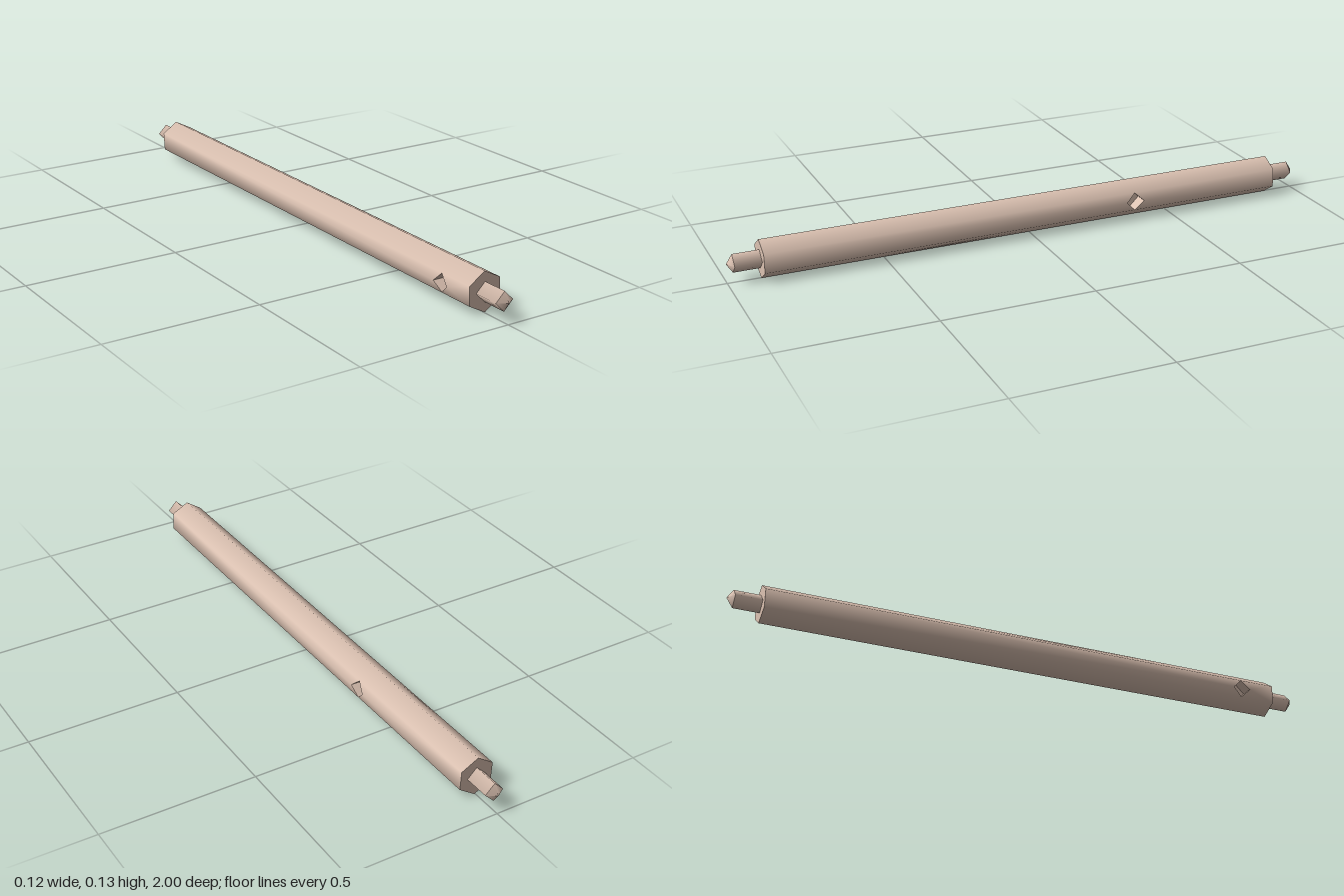
import * as THREE from 'three';

const CY = 0.0635, END = 0.895;
const HOLE_R = 0.031, PIT_X = 0.02;
const mat = new THREE.MeshStandardMaterial({ color: 0xdcc2b2 });

// Half of the hexagon, top to bottom; the other half is its half-turn
const half = [[-0.003, 0.0635], [0.053, 0.034], [0.056, -0.027], [0.003, -0.0635]];

function fromPolygons(polys, smooth) {
  const pos = [];
  for (const p of polys) {
    for (let i = 1; i < p.length - 1; i++) pos.push(...p[0], ...p[i], ...p[i + 1]);
  }
  const g = new THREE.BufferGeometry();
  g.setAttribute('position', new THREE.Float32BufferAttribute(pos, 3));
  g.computeVertexNormals();
  if (smooth) {
    // Normals radiate from the rod's axis
    const n = g.attributes.normal;
    for (let i = 0; i < n.count; i++) {
      const x = pos[i * 3], y = pos[i * 3 + 1], l = Math.hypot(x, y);
      n.setXYZ(i, x / l, y / l, 0);
    }
  }
  return g;
}

function addMesh(parent, name, geometry) {
  const m = new THREE.Mesh(geometry, mat);
  m.name = name;
  parent.add(m);
  return m;
}

// Half of the rod's skin with a blind diamond hole in its side panel
function makeHalf(name, holeZ) {
  const g = new THREE.Group();
  g.name = name;
  const at = (i, z) => [half[i][0], half[i][1], z];
  const strip = (i) => [at(i, -END), at(i, END), at(i + 1, END), at(i + 1, -END)];
  const [A, B, C, D] = strip(1);
  const rim = [
    [0.0535, 0.0325, holeZ], [0.0625, 0.004, holeZ + HOLE_R],
    [0.0565, -0.0265, holeZ], [0.0625, 0.004, holeZ - HOLE_R],
  ];
  const [T, F, L, K] = rim;
  addMesh(g, 'rodSide', fromPolygons([
    strip(0), strip(2),
    [A, B, T], [B, F, T], [B, C, F], [C, L, F],
    [C, D, L], [D, K, L], [D, A, K], [A, T, K],
  ], true));
  // Hole walls and floor
  const floor = rim.map(([, y, z]) => [PIT_X, y, z]);
  const walls = rim.map((p, i) => [p, rim[(i + 1) % 4], floor[(i + 1) % 4], floor[i]]);
  addMesh(g, 'sideHole', fromPolygons([...walls, floor], false));
  return g;
}

// Square end pin with a shallow pointed tip, pointing along +z
function makeEnd(name) {
  const g = new THREE.Group();
  g.name = name;
  const hex = [...half.slice(0, 3), ...half.slice(0, 3).map(([x, y]) => [-x, -y])];
  const cap = new THREE.ShapeGeometry(new THREE.Shape(hex.map(([x, y]) => new THREE.Vector2(x, y))));
  addMesh(g, 'endFace', cap).position.z = END;

  const pin = new THREE.CylinderGeometry(0.031, 0.031, 0.085, 4, 1, true).rotateX(Math.PI / 2);
  addMesh(g, 'pin', pin).position.z = END + 0.0425;

  const tip = new THREE.ConeGeometry(0.031, 0.02, 4, 1, true).rotateX(Math.PI / 2);
  addMesh(g, 'pinTip', tip).position.z = 0.99;
  return g;
}

export function createModel() {
  const model = new THREE.Group();
  model.name = 'hexRod';

  const left = makeHalf('leftHalf', -0.36);
  const right = makeHalf('rightHalf', 0.77);
  right.rotation.z = Math.PI;

  const front = makeEnd('frontEnd');
  const back = makeEnd('backEnd');
  back.rotation.x = Math.PI;
  // Mirror the back face so its outline meets the rod
  back.getObjectByName('endFace').rotation.z = 0;
  const p = back.getObjectByName('endFace').geometry.attributes.position;
  for (let i = 0; i < p.count; i++) p.setY(i, -p.getY(i));
  const idx = back.getObjectByName('endFace').geometry.index;
  for (let i = 0; i < idx.count; i += 3) {
    const a = idx.getX(i);
    idx.setX(i, idx.getX(i + 1));
    idx.setX(i + 1, a);
  }

  for (const part of [left, right, front, back]) {
    part.position.y = CY;
    model.add(part);
  }
  return model;
}
